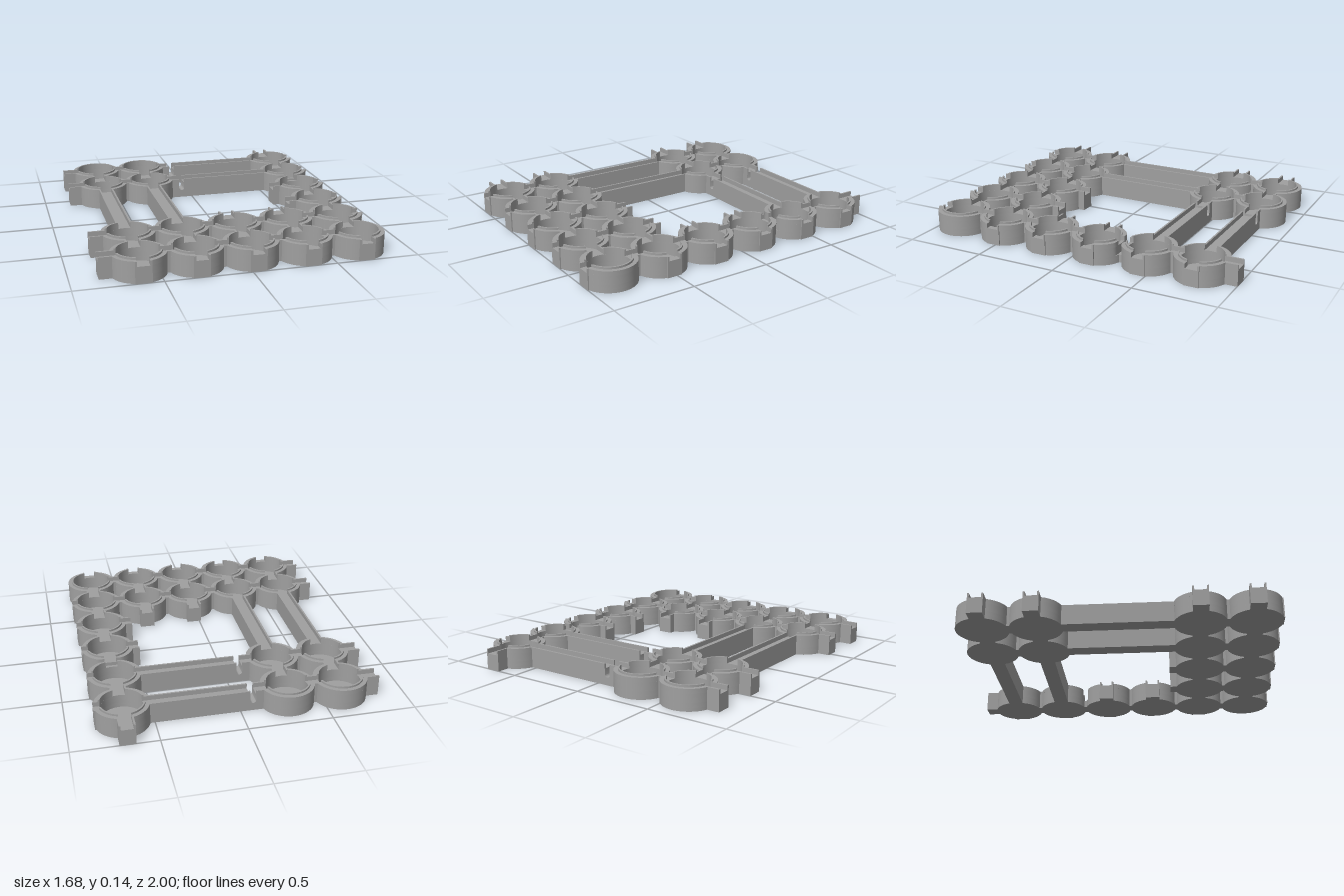
import * as THREE from 'three';
import { toCreasedNormals } from 'three/addons/utils/BufferGeometryUtils.js';

const PITCH = 0.323, R = 0.16, RI = 0.125, LIP = 0.135;      // cup grid and radii
const FLOOR = 0.02, GROOVE = 0.1, WALL = 0.128, TOP = 0.14;   // heights
const HALF = 0.036, SIDE = 0.011;                             // groove half width, rail thickness
const SLOT = 0.018, SLOT_Y = 0.048, FLAT = 0.1435;            // gate slot
const SEG = 64;

export function createModel() {
  const model = new THREE.Group();
  model.name = 'cupTray';
  const grey = new THREE.MeshStandardMaterial({ color: 0xa0a0a0 });
  grey.name = 'grey';

  const add = (parent, name, geo) => {
    const mesh = new THREE.Mesh(geo, grey);
    mesh.name = name;
    parent.add(mesh);
    return mesh;
  };

  // Extrude a plan outline (shape y points to the back) between two heights
  const slab = (shape, y0, y1) => {
    const g = new THREE.ExtrudeGeometry(shape, { depth: y1 - y0, bevelEnabled: false });
    g.rotateX(-Math.PI / 2).translate(0, y0, 0);
    return toCreasedNormals(g, 0.5);
  };

  // Points along an arc, optionally cut flat on the front (-1) or back (+1)
  const arc = (r, a0, a1, flat = 0) => {
    const n = Math.max(3, Math.ceil((SEG * Math.abs(a1 - a0)) / (2 * Math.PI)));
    return Array.from({ length: n + 1 }, (_, k) => {
      const a = a0 + ((a1 - a0) * k) / n;
      let y = r * Math.sin(a);
      if (flat > 0) y = Math.min(y, FLAT);
      if (flat < 0) y = Math.max(y, -FLAT);
      return new THREE.Vector2(r * Math.cos(a), y);
    });
  };

  const ring = (y0, y1, flat) => {
    const shape = new THREE.Shape(arc(R, 0, 2 * Math.PI, flat).slice(0, -1));
    shape.holes.push(new THREE.Path(arc(RI, 0, 2 * Math.PI).slice(0, -1).reverse()));
    return slab(shape, y0, y1);
  };

  // Ring pieces left between parallel-sided notches
  const sectors = (parent, name, r, y0, y1, open, flat) => {
    open.forEach((d, k) => {
      const a = (d * Math.PI) / 2;
      const next = k + 1 < open.length ? open[k + 1] : open[0] + 4;
      const b = (next * Math.PI) / 2;
      const o = Math.asin(HALF / r), i = Math.asin(HALF / RI);
      const shape = new THREE.Shape([...arc(r, a + o, b - o, flat), ...arc(RI, b - i, a + i)]);
      add(parent, name, slab(shape, y0, y1));
    });
  };

  // Side profile from x0 to x1 with an optional round-bottomed slot, given a width
  const bar = (x0, x1, h, width, z, slot) => {
    const s = new THREE.Shape();
    s.moveTo(x0, 0);
    s.lineTo(x1, 0);
    s.lineTo(x1, h);
    if (slot) {
      s.lineTo(slot + SLOT, h);
      s.lineTo(slot + SLOT, SLOT_Y + SLOT);
      s.absarc(slot, SLOT_Y + SLOT, SLOT, 0, -Math.PI, true);
      s.lineTo(slot - SLOT, h);
    }
    s.lineTo(x0, h);
    s.closePath();
    const g = new THREE.ExtrudeGeometry(s, { depth: width, bevelEnabled: false, curveSegments: 12 });
    g.translate(0, 0, z - width / 2);
    return toCreasedNormals(g, 0.5);
  };

  // Grooved beam leaving a cup centre in direction d (0 right side of plan, 1 back, 2, 3 front)
  const beam = (parent, name, d, end, slot, low) => {
    const g = new THREE.Group();
    g.name = name;
    g.rotation.y = (d * Math.PI) / 2;
    const start = 0.15;
    add(g, 'beamCore', bar(start, end, low ? SLOT_Y : GROOVE, 2 * HALF, 0, slot));
    for (const s of [-1, 1]) {
      add(g, 'beamRail', bar(start, end, low ? SLOT_Y : WALL, SIDE, s * (HALF + SIDE / 2), slot));
    }
    parent.add(g);
  };

  // Columns occupied in each row, from back to front
  const rows = [[0, 1, 4], [0, 1, 4], [4], [4], [0, 1, 2, 3, 4], [0, 1, 2, 3, 4]];
  const has = (i, j) => !!rows[j] && rows[j].includes(i);
  const step = [[1, 0], [0, -1], [-1, 0], [0, 1]];

  rows.forEach((cols, j) => cols.forEach((i) => {
    const cup = new THREE.Group();
    cup.name = 'cup';
    cup.position.set(-0.612 + PITCH * i, 0, -0.775 + PITCH * j);
    model.add(cup);

    const open = [0, 1, 2, 3].filter((d) =>
      !(d === 1 && j === 0 && i < 4) && !(d === 0 && i === 4 && j === 5));
    const flat = i === 4 && j === 1 ? -1 : i === 4 && j === 2 ? 1 : 0;

    // Bowl: floor, wall, notched upper wall and raised lip
    add(cup, 'cupFloor', slab(new THREE.Shape(arc(R, 0, 2 * Math.PI).slice(0, -1)), 0, FLOOR));
    add(cup, 'cupWall', ring(FLOOR, SLOT_Y, 0));
    add(cup, 'cupWall', ring(SLOT_Y, GROOVE, flat));
    sectors(cup, 'cupUpperWall', R, GROOVE, WALL, open, flat);
    sectors(cup, 'cupLip', LIP, WALL, TOP, open, 0);

    // Beams to the next cup, or short open stubs at the ends
    for (const d of open) {
      const [dx, dz] = step[d];
      let n = 1;
      while (n < 6 && !has(i + dx * n, j + dz * n)) n++;
      if (n < 6) {
        if (d === 1 || d === 2) continue;
        // Open space beside the right column holds stubs only
        if (n > 1 && i > 1) {
          beam(cup, 'stub', d, 0.195);
          continue;
        }
        const gate = d === 0 && n > 1 ? 0.216 : 0;
        beam(cup, 'beam', d, n * PITCH - 0.15, gate, d === 3 && flat < 0);
      }
    }
    // Outer and inner stubs
    if (i === 0) beam(cup, 'stub', 2, 0.228);
    if (i === 4 && (j === 2 || j === 3)) beam(cup, 'stub', 2, 0.195);
    if (j === 4 && (i === 2 || i === 3)) beam(cup, 'stub', 1, 0.195);
    if (i === 4 && j === 0) beam(cup, 'stub', 1, 0.228);
    if (i === 4 && j < 5) beam(cup, 'stub', 0, R);
    if (j === 5) beam(cup, 'stub', 3, R);
  }));

  return model;
}
